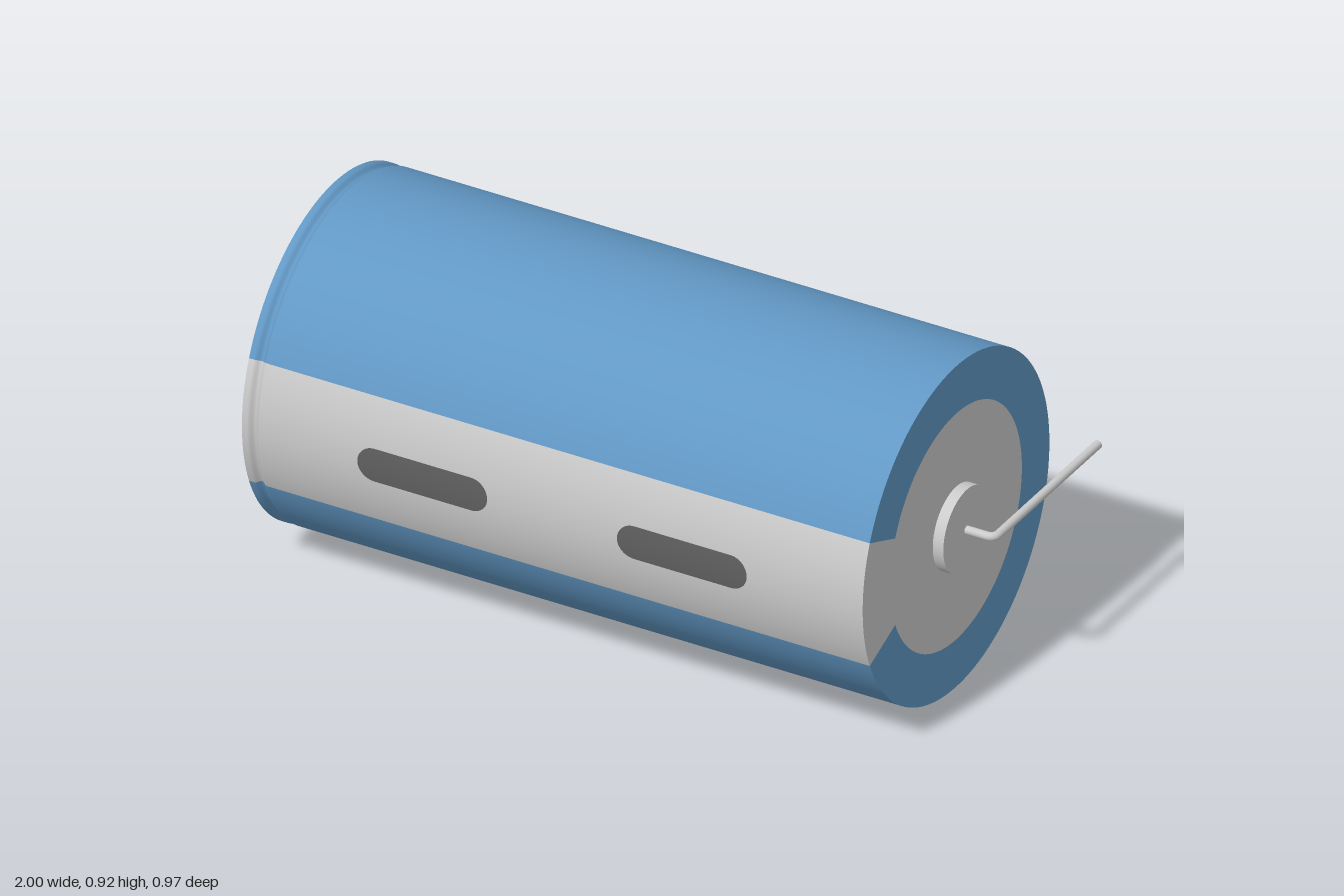
import * as THREE from 'three';

const R = 0.461, HALF = 0.88, DISC_R = 0.325;
const STRIPE = Math.PI / 8; // half angle of the grey stripe

const grey = new THREE.MeshStandardMaterial({ color: 0xcccccc });
const blue = new THREE.MeshStandardMaterial({ color: 0x6298c5 });
const dark = new THREE.MeshStandardMaterial({ color: 0x606060 });

export function createModel() {
  const model = new THREE.Group();
  model.name = 'axialCapacitor';
  model.position.set(0, R, 0.025);

  const add = (name, geometry, material) => {
    const mesh = new THREE.Mesh(geometry, material);
    mesh.name = name;
    model.add(mesh);
    return mesh;
  };

  // Revolve [radius, x] pairs about the x axis; angle 0 points to the front
  const revolve = (profile, segments, start = 0, length = Math.PI * 2) =>
    new THREE.LatheGeometry(profile.map(([r, x]) => new THREE.Vector2(r, x)), segments, start, length)
      .rotateZ(-Math.PI / 2);

  // Sleeve profile with a shallow crimp groove near the right end
  const sleeve = [[R, -HALF], [R, -0.868]];
  for (let i = 0; i <= 10; i++) {
    const t = i / 10;
    sleeve.push([R - 0.005 * (1 - Math.cos(t * Math.PI * 2)), -0.865 + 0.035 * t]);
  }
  sleeve.push([R, -0.826], [R, HALF]);

  // Blue sleeve and grey front stripe, each wrapping over both end faces
  const wraps = [
    ['sleeve', blue, 112, STRIPE, Math.PI * 2 - STRIPE * 2],
    ['stripe', grey, 16, -STRIPE, STRIPE * 2],
  ];
  for (const [name, material, segments, start, length] of wraps) {
    add(name, revolve(sleeve, segments, start, length), material);
    add(name + 'RightEnd', revolve([[DISC_R, -HALF], [R, -HALF]], segments, start, length), material);
    add(name + 'LeftEnd', revolve([[R, HALF], [DISC_R, HALF]], segments, start, length), material);
  }

  // Dark rounded marks curved onto the stripe
  const markR = 0.047, markHalf = 0.184;
  for (const s of [-1, 1]) {
    const geometry = new THREE.PlaneGeometry(2, 2, 1, 24);
    const p = geometry.attributes.position;
    for (let i = 0; i < p.count; i++) {
      const a = p.getY(i) * Math.PI / 2;
      const y = markR * Math.sin(a);
      const x = p.getX(i) * (markHalf - markR + markR * Math.cos(a));
      p.setXYZ(i, x + s * 0.368, y, Math.sqrt(R * R - y * y) + 0.0015);
    }
    geometry.computeVertexNormals();
    add(s > 0 ? 'leftMark' : 'rightMark', geometry, dark);
  }

  for (const s of [-1, 1]) {
    const side = s > 0 ? 'left' : 'right';

    // Flush end disc and raised boss
    const disc = new THREE.CircleGeometry(DISC_R, 128).rotateY(s * Math.PI / 2);
    add(side + 'EndDisc', disc.translate(s * HALF, 0, 0), grey);
    const boss = new THREE.CylinderGeometry(0.115, 0.115, 0.03, 64).rotateZ(Math.PI / 2);
    add(side + 'Boss', boss.translate(s * (HALF + 0.015), 0, 0), grey);

    // Wire lead bent towards the back
    const wireR = 0.0115, wireX = 1 - wireR, bend = 0.022, tip = -0.512;
    const v = (x, z) => new THREE.Vector3(s * x, 0, z);
    const path = new THREE.CurvePath();
    path.add(new THREE.LineCurve3(v(0.9, 0), v(wireX - bend, 0)));
    path.add(new THREE.QuadraticBezierCurve3(v(wireX - bend, 0), v(wireX, 0), v(wireX, -bend)));
    path.add(new THREE.LineCurve3(v(wireX, -bend), v(wireX, tip)));
    add(side + 'Lead', new THREE.TubeGeometry(path, 140, wireR, 16), grey);
    const cap = new THREE.CircleGeometry(wireR, 16).rotateY(Math.PI);
    add(side + 'LeadTip', cap.translate(s * wireX, 0, tip), grey);
  }

  const root = new THREE.Group();
  root.name = 'capacitor';
  root.add(model);
  return root;
}
